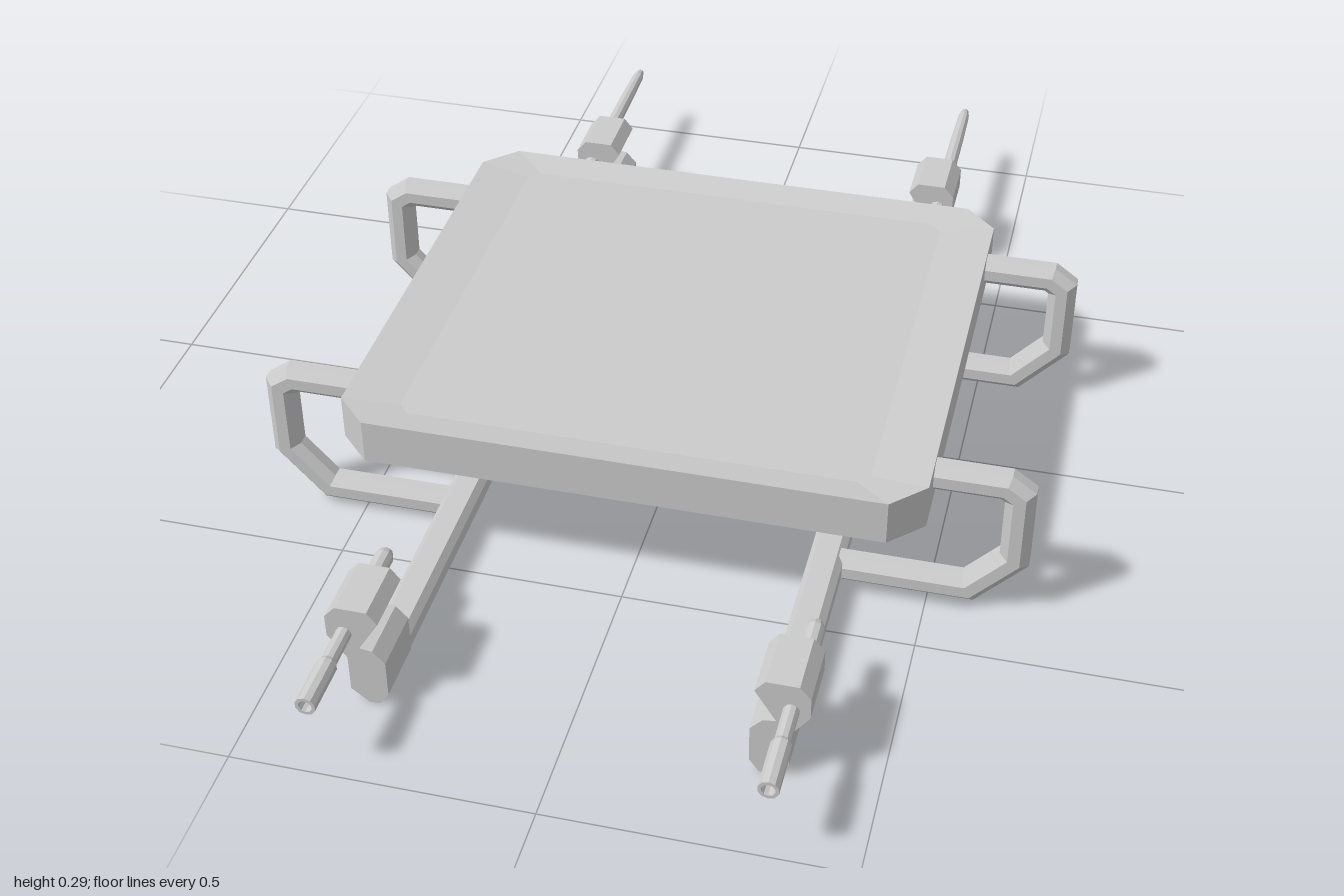
import * as THREE from 'three';

const material = new THREE.MeshStandardMaterial({ color: 0xcccccc, flatShading: true });

function addMesh(parent, geometry, name) {
  const mesh = new THREE.Mesh(geometry, material);
  mesh.name = name;
  parent.add(mesh);
  return mesh;
}

// Skin a list of equal-length rings (counterclockwise about the sweep) and close both ends
function loft(rings) {
  const n = rings[0].length;
  const tris = [];
  const centre = (r) => r.reduce((s, p) => s.add(p), new THREE.Vector3()).divideScalar(n);
  const first = rings[0], last = rings[rings.length - 1];
  const c0 = centre(first), c1 = centre(last);
  for (let j = 0; j < n; j++) {
    const k = (j + 1) % n;
    for (let i = 0; i < rings.length - 1; i++) {
      const a = rings[i][j], b = rings[i][k], c = rings[i + 1][k], d = rings[i + 1][j];
      tris.push(a, b, d, b, c, d);
    }
    tris.push(c0, first[k], first[j], c1, last[j], last[k]);
  }
  const geometry = new THREE.BufferGeometry().setFromPoints(tris);
  geometry.computeVertexNormals();
  return geometry;
}

// Rectangle with cut corners, lying flat at height y
function plateRing(hx, z0, z1, cut, y) {
  return [
    [hx, z0 + cut], [hx - cut, z0], [-hx + cut, z0], [-hx, z0 + cut],
    [-hx, z1 - cut], [-hx + cut, z1], [hx - cut, z1], [hx, z1 - cut],
  ].map(([x, z]) => new THREE.Vector3(x, y, z));
}

// Mitred octagonal bar following a path in the xy plane
function bar(path, half) {
  const pts = path.map(([x, y]) => new THREE.Vector2(x, y));
  const r = half / Math.cos(Math.PI / 8);
  return loft(pts.map((p, i) => {
    const before = p.clone().sub(pts[Math.max(i - 1, 0)]).normalize();
    const after = pts[Math.min(i + 1, pts.length - 1)].clone().sub(p).normalize();
    const t = before.clone().add(after).normalize();
    const stretch = 1 / Math.max(t.dot(before), t.dot(after));
    return Array.from({ length: 8 }, (_, j) => {
      const a = (j + 0.5) * Math.PI / 4;
      const u = r * Math.cos(a) * stretch;
      return new THREE.Vector3(p.x - t.y * u, p.y + t.x * u, r * Math.sin(a));
    });
  }));
}

// Outline extruded along z between z0 and z1, mirrored in x by side
function prism(outline, side, z0, z1) {
  const shape = new THREE.Shape(outline.map(([x, y]) => new THREE.Vector2(x * side, y)));
  return new THREE.ExtrudeGeometry(shape, { depth: z1 - z0, bevelEnabled: false }).translate(0, 0, z0);
}

// Round pin along z, given as [radius, z] from back to front
function pin(profile) {
  const points = profile.map(([r, z]) => new THREE.Vector2(r, z));
  return new THREE.LatheGeometry(points, 10).rotateX(Math.PI / 2);
}

const railOutline = [
  [0.296, 0.023], [0.31, 0], [0.328, 0], [0.355, 0.023],
  [0.355, 0.046], [0.344, 0.058], [0.306, 0.058], [0.296, 0.046],
];
const bracketOutline = [
  [0.294, 0.023], [0.31, 0], [0.328, 0], [0.357, 0.023], [0.357, 0.09], [0.388, 0.133],
  [0.388, 0.172], [0.37, 0.193], [0.317, 0.193], [0.3, 0.172], [0.335, 0.115],
  [0.314, 0.112], [0.294, 0.09],
];
const armPath = [
  [0.46, 0.257], [0.615, 0.257], [0.639, 0.24], [0.639, 0.108], [0.567, 0.03], [0.325, 0.03],
];
// Front pin ends in a socket, back pin ends in a tapered plug
const frontPin = [
  [0, 0.633], [0.011, 0.637], [0.016, 0.65], [0.016, 0.74], [0.013, 0.82], [0.013, 0.9],
  [0.017, 0.908], [0.017, 1], [0.011, 1], [0.011, 0.93], [0, 0.925],
];
const backPin = [
  [0, -1], [0.007, -0.996], [0.011, -0.975], [0.013, -0.88], [0.014, -0.73],
  [0.016, -0.7], [0.016, -0.525], [0.011, -0.51], [0, -0.506],
];

export function createModel() {
  const model = new THREE.Group();
  model.name = 'platformOnRails';

  // Platform with a shallow dished top
  addMesh(model, loft([
    plateRing(0.497, -0.387, 0.498, 0.056, 0.21),
    plateRing(0.497, -0.387, 0.498, 0.056, 0.29),
    plateRing(0.4, -0.333, 0.443, 0.02, 0.28),
  ]), 'platform');

  for (const side of [1, -1]) {
    const half = new THREE.Group();
    half.name = side > 0 ? 'leftSide' : 'rightSide';
    model.add(half);

    // Long rail and its end brackets
    addMesh(half, prism(railOutline, side, -0.705, 0.83), 'rail');
    addMesh(half, prism(bracketOutline, side, 0.725, 0.834), 'frontBracket');
    addMesh(half, prism(bracketOutline, side, -0.713, -0.604), 'backBracket');

    // Bent arms joining rail and platform
    const path = armPath.map(([x, y]) => [x * side, y]);
    for (const [name, z] of [['frontArm', 0.362], ['backArm', -0.247]]) {
      addMesh(half, bar(path, 0.025), name).position.z = z;
    }

    // Coupling pins held in the brackets
    addMesh(half, pin(frontPin), 'frontPin').position.set(0.358 * side, 0.143, 0);
    addMesh(half, pin(backPin), 'backPin').position.set(0.358 * side, 0.143, 0);
  }
  return model;
}
